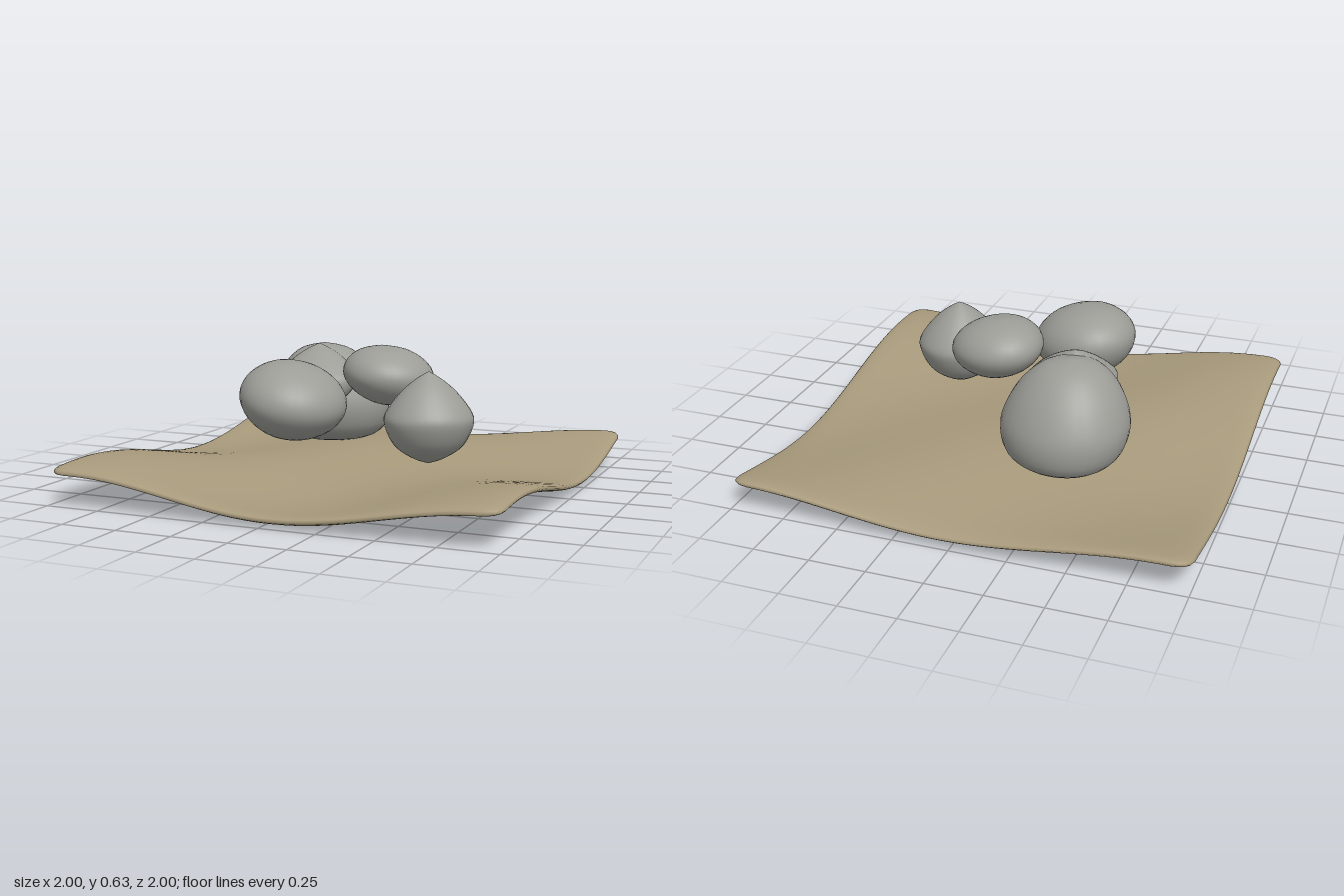
import * as THREE from 'three';
import { mergeVertices } from 'three/addons/utils/BufferGeometryUtils.js';

// Drop seams so the normals run smoothly over the whole surface
function smooth(geometry) {
  geometry.deleteAttribute('uv');
  geometry.deleteAttribute('normal');
  const merged = mergeVertices(geometry, 1e-4);
  merged.computeVertexNormals();
  return merged;
}

function moveVertices(geometry, rule) {
  const p = geometry.attributes.position;
  const v = new THREE.Vector3();
  for (let i = 0; i < p.count; i++) {
    rule(v.fromBufferAttribute(p, i));
    p.setXYZ(i, v.x, v.y, v.z);
  }
  return geometry;
}

// Height of the rolling ground sheet
const groundHeight = (x, z) => 0.095 + 0.058 *
  (Math.cos(3.35 * (x - 0.04)) - 0.12) * (Math.cos(3 * (z + 0.29)) - 0.2);

// Thin square sheet with rounded rim and corners, bent into waves
function groundGeometry() {
  const half = 0.02, r = 0.08, core = 1 - r;
  const box = new THREE.BoxGeometry(2, 2 * half, 2, 50, 4, 50);
  moveVertices(box, (v) => {
    const cx = THREE.MathUtils.clamp(v.x, -core, core);
    const cz = THREE.MathUtils.clamp(v.z, -core, core);
    const d = new THREE.Vector3((v.x - cx) / r, v.y / half, (v.z - cz) / r);
    const m = Math.max(Math.abs(d.x), Math.abs(d.y), Math.abs(d.z));
    if (m > 0) d.multiplyScalar(m / d.length());
    v.set(cx + d.x * r, d.y * half, cz + d.z * r);
    v.y += groundHeight(v.x, v.z);
  });
  return smooth(box);
}

// Stone: a lathed profile [radius, height], stretched, leaned and made uneven
function stoneGeometry({ profile, size, lean = [0, 0], oval = 0, turn = 0, lobes = 0.02 }) {
  const curve = new THREE.SplineCurve(profile.map(([a, b]) => new THREE.Vector2(a, b)));
  const points = curve.getPoints(24);
  points.forEach((p) => { p.x = Math.max(p.x, 0); });
  points[0].x = points[points.length - 1].x = 0;
  const lathe = new THREE.LatheGeometry(points, 32);
  moveVertices(lathe, (v) => {
    const a = Math.atan2(v.z, v.x);
    const k = 1 + oval * Math.cos(2 * (a - turn)) + lobes * Math.cos(3 * a + turn);
    v.x = v.x * k * size[0] + lean[0] * v.y;
    v.z = v.z * k * size[2] + lean[1] * v.y;
    v.y *= size[1];
  });
  return smooth(lathe);
}

// Profiles run from the bottom up
const dome = [[0, -1], [0.55, -0.96], [0.88, -0.74], [1, -0.3], [0.93, 0.12], [0.73, 0.55], [0.42, 0.88], [0, 1]];
const pebble = [[0, -1], [0.45, -0.87], [0.83, -0.5], [1, 0], [0.88, 0.48], [0.52, 0.85], [0, 1]];
const peaked = [[0, -1], [0.38, -0.86], [0.78, -0.58], [1, -0.12], [0.94, 0.16], [0.62, 0.56], [0.28, 0.84], [0, 1]];

const stones = [
  { name: 'largeStone', at: [-0.285, 0.375, -0.32], size: [0.283, 0.235, 0.27], profile: dome, lean: [-0.01, 0.03] },
  { name: 'leaningStone', at: [-0.265, 0.47, -0.14], size: [0.19, 0.145, 0.155], profile: peaked, lean: [-0.02, -0.07], lobes: 0.03 },
  { name: 'frontStone', at: [-0.165, 0.425, 0.34], size: [0.243, 0.17, 0.25], profile: pebble, oval: 0.04, turn: 0.8, tilt: [0.08, 0, -0.2] },
  { name: 'middleStone', at: [0.132, 0.503, -0.045], size: [0.208, 0.137, 0.207], profile: pebble, lean: [-0.03, 0], oval: 0.02, turn: 0.8 },
  { name: 'pointedStone', at: [0.433, 0.37, 0.235], size: [0.192, 0.2, 0.196], profile: peaked },
];

export function createModel() {
  const group = new THREE.Group();
  const sand = new THREE.MeshStandardMaterial({ color: 0xa89a7c });
  sand.name = 'sand';
  const stoneGrey = new THREE.MeshStandardMaterial({ color: 0x9c9d97 });
  stoneGrey.name = 'stone grey';

  const ground = new THREE.Mesh(groundGeometry(), sand);
  ground.name = 'ground';
  group.add(ground);

  for (const stone of stones) {
    const mesh = new THREE.Mesh(stoneGeometry(stone), stoneGrey);
    mesh.name = stone.name;
    mesh.position.set(...stone.at);
    if (stone.tilt) mesh.rotation.set(...stone.tilt);
    group.add(mesh);
  }
  return group;
}
